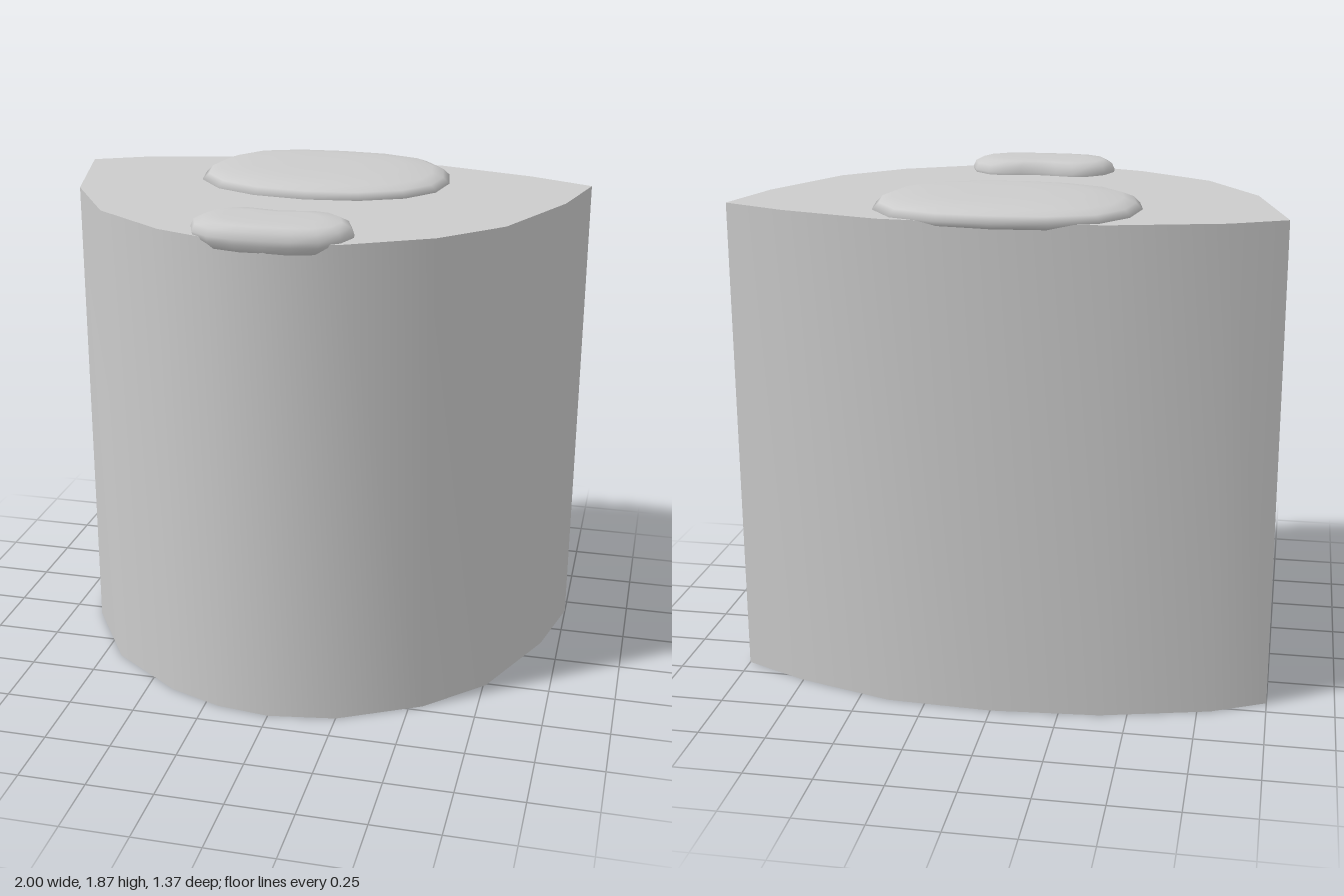
import * as THREE from 'three';
import { toCreasedNormals } from 'three/addons/utils/BufferGeometryUtils.js';

const HEIGHT = 1.81;
const material = () => new THREE.MeshStandardMaterial({ color: 0xcccccc });

// Half outline (x >= 0, back to front) mirrored into a closed loop
function mirrored(half) {
  const left = half.slice(1, -1).reverse().map(([x, z]) => [-x, z]);
  return [...half, ...left];
}

// Rounded pad: the outline is scaled about its centre through stacked rings [scaleX, scaleZ, y]
function createPad(name, outline, cx, cz, rings) {
  const n = outline.length;
  const positions = [], index = [];
  for (const [sx, sz, y] of rings) {
    for (const [x, z] of outline) positions.push(cx + x * sx, y, cz + (z - cz) * sz);
  }
  for (let r = 0; r < rings.length - 1; r++) {
    for (let i = 0; i < n; i++) {
      const j = (i + 1) % n;
      const a = r * n + i, b = r * n + j, c = a + n, d = b + n;
      index.push(a, c, b, b, c, d);
    }
  }
  // Bottom and top centres
  const bottom = positions.length / 3, top = bottom + 1, last = (rings.length - 1) * n;
  positions.push(cx, rings[0][2], cz, cx, rings[rings.length - 1][2], cz);
  for (let i = 0; i < n; i++) {
    const j = (i + 1) % n;
    index.push(bottom, i, j, top, last + j, last + i);
  }
  const geometry = new THREE.BufferGeometry();
  geometry.setAttribute('position', new THREE.Float32BufferAttribute(positions, 3));
  geometry.setIndex(index);
  geometry.computeVertexNormals();
  const mesh = new THREE.Mesh(geometry, material());
  mesh.name = name;
  return mesh;
}

export function createModel() {
  const model = new THREE.Group();
  model.name = 'model';

  // Body: upright prism with a shallow back curve and a deep front curve
  const plan = [
    [-1, -0.43], [-0.8, -0.53], [-0.4, -0.63], [0, -0.66], [0.39, -0.64], [0.76, -0.53], [1, -0.42],
    [0.93, -0.12], [0.76, 0.26], [0.55, 0.47], [0.25, 0.63], [0, 0.67], [-0.2, 0.645],
    [-0.4, 0.57], [-0.68, 0.37], [-0.88, 0.05],
  ];
  const shape = new THREE.Shape(plan.map(([x, z]) => new THREE.Vector2(x, -z)));
  const bodyGeometry = new THREE.ExtrudeGeometry(shape, { depth: HEIGHT, bevelEnabled: false });
  bodyGeometry.rotateX(-Math.PI / 2);
  const body = new THREE.Mesh(toCreasedNormals(bodyGeometry, 0.7), material());
  body.name = 'body';
  model.add(body);

  // Large oval pad at the back
  const oval = mirrored([
    [0, -0.69], [0.2, -0.675], [0.365, -0.61], [0.455, -0.48], [0.48, -0.32],
    [0.455, -0.175], [0.36, -0.055], [0.2, 0.02], [0, 0.045],
  ]);
  model.add(createPad('backPad', oval, -0.01, -0.32, [
    [0.93, 0.92, 1.79], [1, 1, 1.813], [0.95, 0.93, 1.836], [0.86, 0.83, 1.852], [0.6, 0.62, 1.862], [0.3, 0.3, 1.865],
  ]));

  // Small kidney-shaped pad at the front, notched on its inner side
  const kidney = mirrored([
    [0, 0.395], [0.07, 0.383], [0.14, 0.37], [0.2, 0.385], [0.26, 0.44], [0.288, 0.53],
    [0.26, 0.61], [0.195, 0.66], [0.1, 0.68], [0, 0.682],
  ]);
  model.add(createPad('frontPad', kidney, -0.005, 0.53, [
    [0.7, 0.78, 1.766], [0.88, 0.91, 1.775], [0.98, 0.99, 1.8], [1, 1, 1.82],
    [0.96, 0.95, 1.845], [0.85, 0.82, 1.861], [0.6, 0.55, 1.865],
  ]));

  return model;
}
